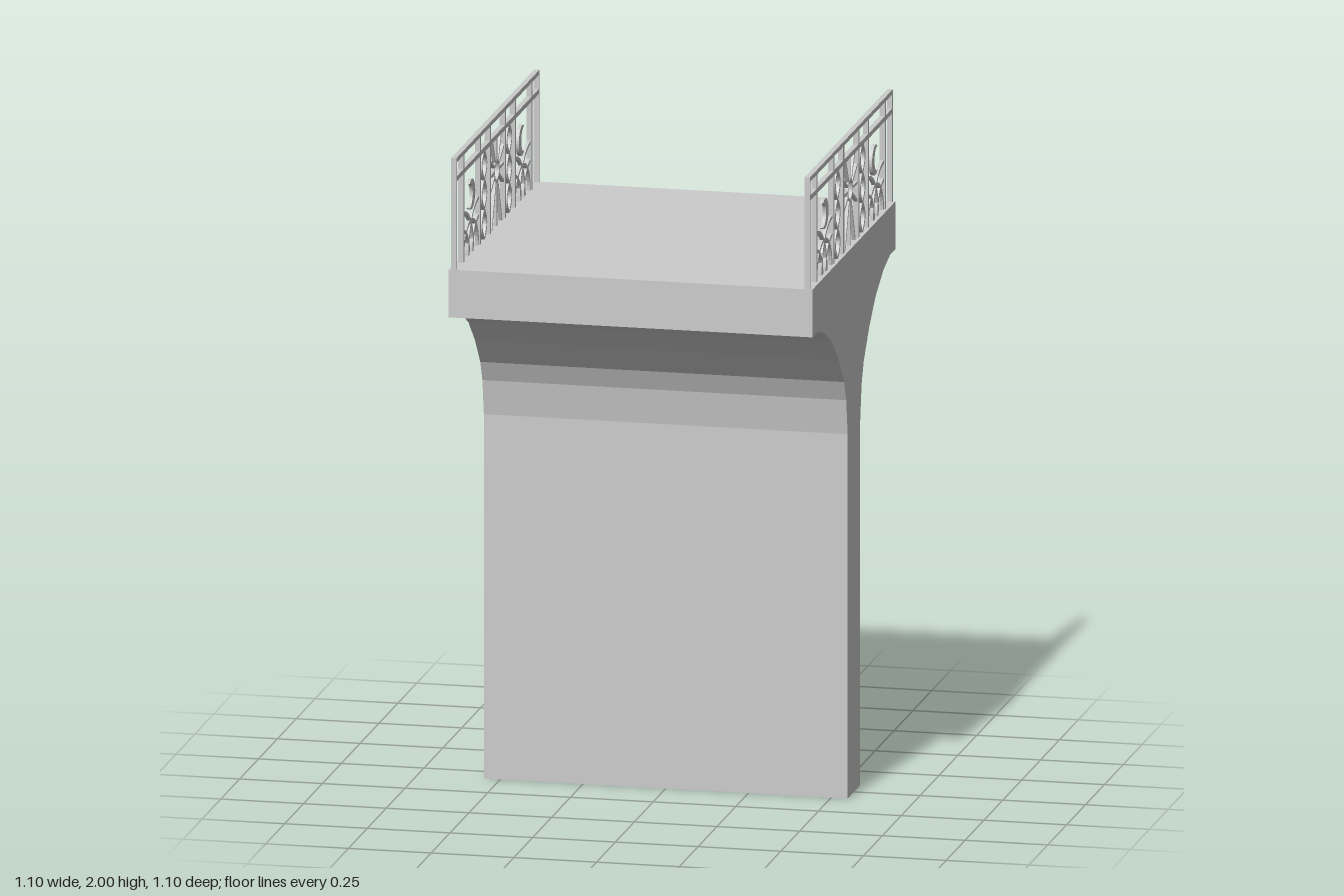
import * as THREE from 'three';

const material = new THREE.MeshStandardMaterial({ color: 0xcccccc, flatShading: true });
const DECK = 1.66, RAIL = 1.93;

// Extrude a shape drawn in the (z, y) plane along x, centred on x = 0
function slab(name, shape, depth) {
  const geo = new THREE.ExtrudeGeometry(shape, { depth, bevelEnabled: false, curveSegments: 14 });
  geo.translate(0, 0, -depth / 2).rotateY(-Math.PI / 2);
  const mesh = new THREE.Mesh(geo, material);
  mesh.name = name;
  return mesh;
}

// Flat ribbon of constant width along a list of [z, y] points
function ribbon(name, pts, width, depth = 0.01) {
  const left = [], right = [];
  pts.forEach((p, i) => {
    const a = pts[Math.max(i - 1, 0)], b = pts[Math.min(i + 1, pts.length - 1)];
    const dx = b[0] - a[0], dy = b[1] - a[1], k = width / 2 / Math.hypot(dx, dy);
    left.push(new THREE.Vector2(p[0] - dy * k, p[1] + dx * k));
    right.unshift(new THREE.Vector2(p[0] + dy * k, p[1] - dx * k));
  });
  return slab(name, new THREE.Shape([...left, ...right]), depth);
}

function arc(cz, cy, r, from, to, n = 14) {
  return Array.from({ length: n + 1 }, (_, i) => {
    const t = from + (to - from) * i / n;
    return [cz + r * Math.cos(t), cy + r * Math.sin(t)];
  });
}

function createBody() {
  // Half profile from the foot of the wall, up the flare, to the deck
  const half = [[0.083, 0], [0.083, 1.107], [0.102, 1.215], [0.13, 1.277], [0.2, 1.36],
    [0.286, 1.435], [0.39, 1.49], [0.48, 1.515], [0.55, 1.515], [0.55, DECK]];
  const outline = [...half, ...half.map(([z, y]) => [-z, y]).reverse()];
  return slab('pierAndDeck', new THREE.Shape(outline.map(p => new THREE.Vector2(...p))), 1.1);
}

function createSun() {
  const sun = new THREE.Group();
  sun.name = 'sunPanel';
  const cy = 1.828, r = 0.034;
  const ring = new THREE.Shape().absarc(0, cy, r, 0, Math.PI * 2);
  ring.holes.push(new THREE.Path().absarc(0, cy, r - 0.007, 0, Math.PI * 2, true));
  sun.add(slab('sunRing', ring, 0.01));
  // Rays run from the ring out to the panel frame
  for (const deg of [0, 30, 60, 90, 120, 150, 180, 210, 248, 270, 292, 330]) {
    const c = Math.cos(deg * Math.PI / 180), s = Math.sin(deg * Math.PI / 180);
    const reach = Math.min(0.095 / Math.max(Math.abs(c), 1e-6),
      (s > 0 ? RAIL - cy : cy - DECK) / Math.max(Math.abs(s), 1e-6));
    sun.add(ribbon('sunRay', [[c * r, cy + s * r], [c * reach, cy + s * reach]], 0.008));
  }
  return sun;
}

function createTwist(side) {
  const twist = new THREE.Group();
  twist.name = 'twistPanel';
  for (const phase of [-1, 1]) {
    const pts = Array.from({ length: 37 }, (_, i) => {
      const t = i / 36;
      return [side * 0.165 + phase * 0.031 * Math.sin(t * Math.PI * 3), DECK + (RAIL - DECK) * t];
    });
    twist.add(ribbon('twistStrand', pts, 0.01));
  }
  return twist;
}

function createMoon(side) {
  const panel = new THREE.Group();
  panel.name = 'moonPanel';
  // Crescent, convex towards the middle of the railing
  const R = 0.046, r = 0.037, d = 0.024;
  const x = (R * R - r * r + d * d) / (2 * d), y = Math.sqrt(R * R - x * x);
  const a = Math.atan2(y, x), b = Math.atan2(y, x - d);
  const outer = arc(0, 0, R, a, 2 * Math.PI - a, 20);
  const inner = arc(d, 0, r, 2 * Math.PI - b, b, 20).slice(1, -1);
  const pts = [...outer, ...inner].map(([u, v]) => new THREE.Vector2(side * (0.334 + u), 1.838 + v));
  panel.add(slab('crescent', new THREE.Shape(pts), 0.01));
  // Overlapping arches below the crescent
  panel.add(ribbon('centreArch', arc(side * 0.342, DECK, 0.1, 0, Math.PI, 20), 0.01));
  for (const radius of [0.09, 0.145]) {
    panel.add(ribbon('cornerArch', arc(side * 0.231, DECK, radius, Math.PI / 2, side > 0 ? 0 : Math.PI), 0.01));
    panel.add(ribbon('cornerArch', arc(side * 0.452, DECK, radius, Math.PI / 2, side > 0 ? Math.PI : 0), 0.01));
  }
  return panel;
}

function createRailing() {
  const railing = new THREE.Group();
  railing.name = 'railing';
  const t = 0.016;
  railing.add(ribbon('topRail', [[-0.55, 1.993], [0.55, 1.993]], 0.014, t));
  railing.add(ribbon('lowerRail', [[-0.55, 1.936], [0.55, 1.936]], 0.015, t));
  for (const side of [-1, 1]) {
    for (const [z, w] of [[0.1, 0.014], [0.231, 0.014], [0.452, 0.014], [0.546, 0.008]]) {
      railing.add(ribbon('post', [[side * z, DECK], [side * z, 1.99]], w, t));
    }
    railing.add(createTwist(side), createMoon(side));
  }
  railing.add(createSun());
  return railing;
}

export function createModel() {
  const model = new THREE.Group();
  model.name = 'bridgeSection';
  model.add(createBody());
  // One railing along each side of the deck
  for (const side of [-1, 1]) {
    const railing = createRailing();
    railing.name = side > 0 ? 'leftRailing' : 'rightRailing';
    railing.position.x = side * 0.534;
    model.add(railing);
  }
  return model;
}
